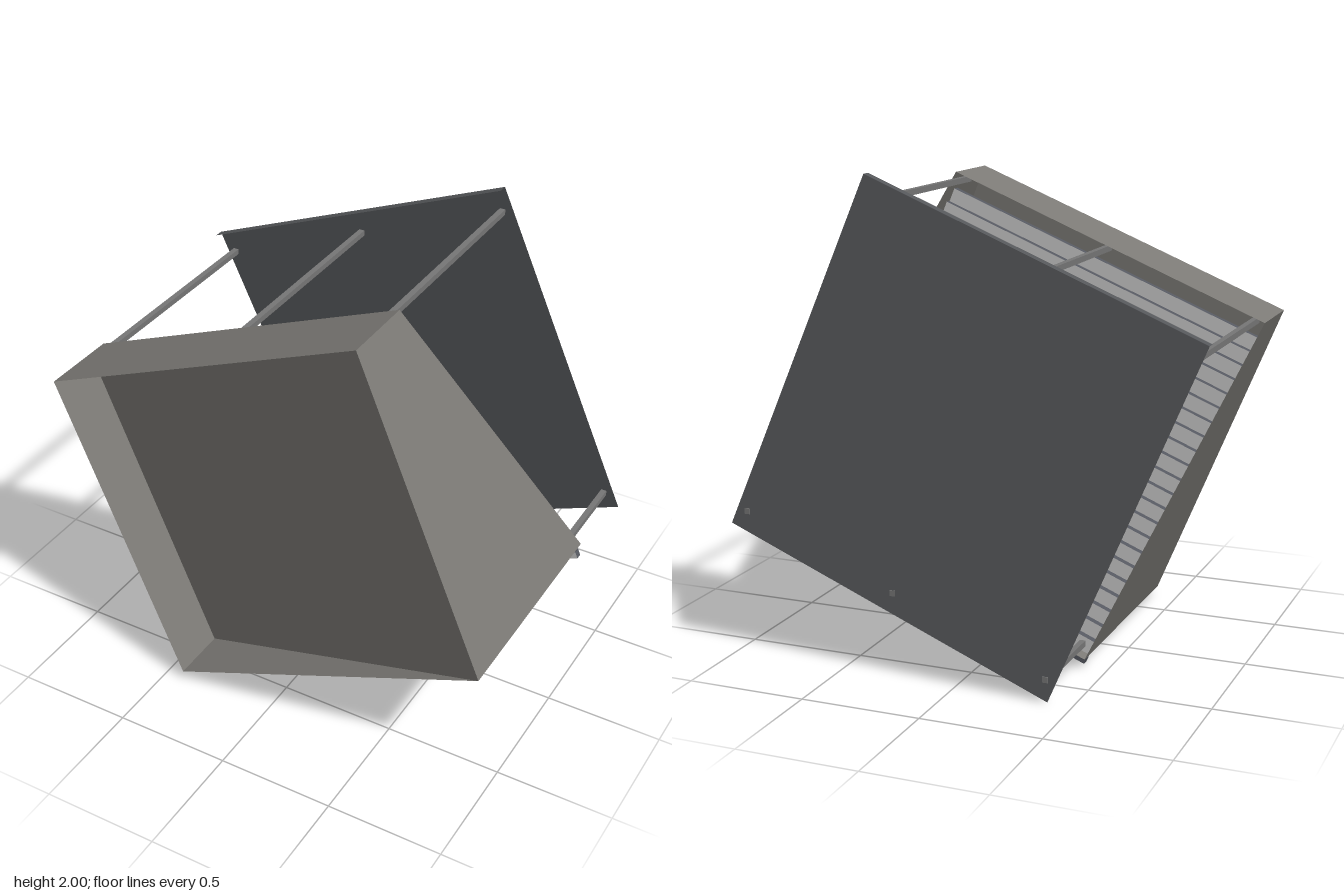
import * as THREE from 'three';

const paint = (color) => new THREE.MeshStandardMaterial({ color, side: THREE.DoubleSide, flatShading: true });
const wallPaint = paint(0x7d7b77);
const roofPaint = paint(0x56585b);
const postPaint = paint(0x777777);
const treadPaint = paint(0xcccccc);
const riserPaint = paint(0x565961);

// Flat four-cornered sheet
function sheet(name, corners, material) {
  const geometry = new THREE.BufferGeometry();
  geometry.setAttribute('position', new THREE.Float32BufferAttribute(corners.flat(), 3));
  geometry.setIndex([0, 1, 2, 0, 2, 3]);
  geometry.computeVertexNormals();
  const mesh = new THREE.Mesh(geometry, material);
  mesh.name = name;
  return mesh;
}

export function createModel() {
  // Local axes: x along the rows, y from back to front, -z is the stand's own up
  const stand = new THREE.Group();
  stand.name = 'grandstand';
  stand.position.y = 1;
  stand.rotation.z = THREE.MathUtils.degToRad(22.4);

  const half = 0.745, back = -0.725, front = 0.69;
  const topBack = -0.304, topFront = 0.342;
  const baseLeft = 0.662, baseRight = 0.675;

  // Sloping side walls
  for (const [name, x, base] of [['leftWall', half, baseLeft], ['rightWall', -half, baseRight]]) {
    stand.add(sheet(name, [[x, back, base], [x, front, base], [x, front, topFront], [x, back, topBack]], wallPaint));
  }

  // Tall back wall and low front wall
  for (const [name, y, top] of [['backWall', back, topBack], ['frontWall', front, topFront]]) {
    stand.add(sheet(name, [[-half, y, baseRight], [half, y, baseLeft], [half, y, top], [-half, y, top]], wallPaint));
  }

  // Tilted floor inside the open base
  stand.add(sheet('floor', [[-half, back, 0.43], [half, back, baseLeft], [half, front, baseLeft], [-half, front, 0.43]], wallPaint));

  // Seating steps, light treads with dark risers, sunk below the wall tops
  const rows = 22, depth = 0.0605, rise = 0.0305;
  const steps = new THREE.Group();
  steps.name = 'steps';
  for (let i = 0; i < rows; i++) {
    const y = back + depth * i, z = -0.245 + rise * i;
    steps.add(sheet('tread', [[-half, y, z], [-half, y + depth, z], [half, y + depth, z], [half, y, z]], treadPaint));
    steps.add(sheet('riser', [[-half, y + depth, z], [-half, y + depth, z + rise], [half, y + depth, z + rise], [half, y + depth, z]], riserPaint));
  }
  stand.add(steps);

  // Ledge along the outside of the back wall
  const ledge = new THREE.Mesh(
    new THREE.BoxGeometry(2 * half, 0.03, 0.028),
    [riserPaint, riserPaint, riserPaint, riserPaint, treadPaint, riserPaint],
  );
  ledge.name = 'backLedge';
  ledge.position.set(0, back - 0.019, -0.259);
  stand.add(ledge);

  // Roof posts in two rows of three, turned upright
  for (const [name, y, bottom, top] of [['frontPost', 0.673, 0.4, -0.594], ['backPost', -0.693, -0.21, -0.675]]) {
    for (const x of [-0.7, 0, 0.7]) {
      const post = new THREE.Mesh(new THREE.BoxGeometry(0.024, 0.024, bottom - top), postPaint);
      post.name = name;
      post.position.set(x, y, (bottom + top) / 2);
      post.rotation.z = -stand.rotation.z;
      stand.add(post);
    }
  }

  // Sloping roof with a hanging front lip
  const eave = 0.773, roofBack = -0.772;
  stand.add(sheet('roof', [[-half, roofBack, -0.676], [-half, eave, -0.596], [half, eave, -0.596], [half, roofBack, -0.676]], roofPaint));
  stand.add(sheet('roofLip', [[-half, eave, -0.596], [-half, eave, -0.556], [half, eave, -0.556], [half, eave, -0.596]], roofPaint));

  const model = new THREE.Group();
  model.name = 'model';
  model.add(stand);
  return model;
}
